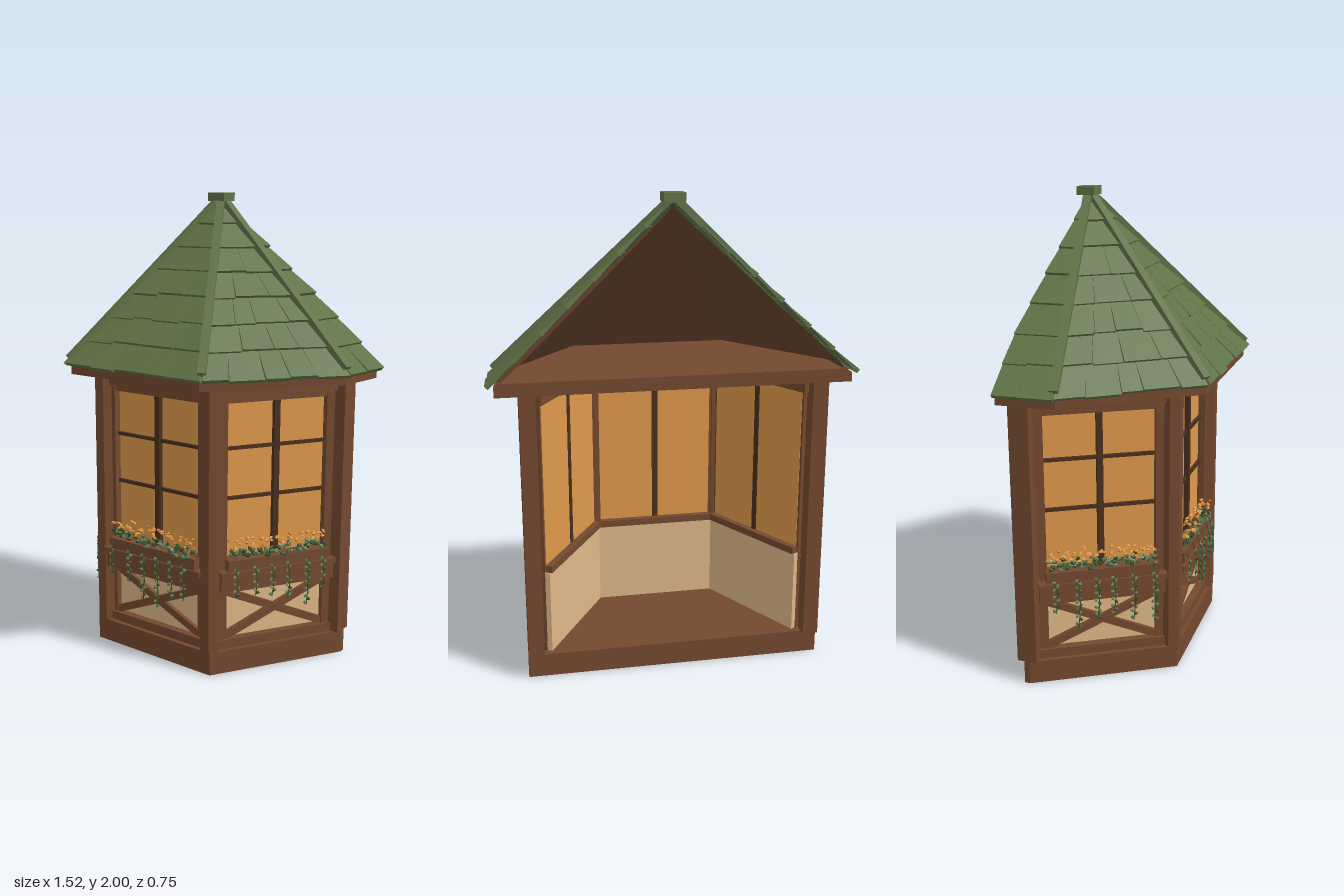
import * as THREE from 'three';
import { mergeGeometries } from 'three/addons/utils/BufferGeometryUtils.js';

const mat = (name, color, side = THREE.FrontSide) => {
  const m = new THREE.MeshStandardMaterial({ color, side });
  m.name = name;
  return m;
};
const V = (x, y, z) => new THREE.Vector3(x, y, z);

export function createModel() {
  const wood = mat('brown wood', 0x74492f);
  const lining = mat('roof lining brown', 0x6b4630, THREE.DoubleSide);
  const darkWood = mat('dark window bars', 0x4a2f1e);
  const pane = mat('amber glass', 0xdf994b);
  const plaster = mat('cream plaster', 0xdeb887);
  const roofGreen = mat('roof green', 0x5f7347, THREE.DoubleSide);
  const leafDark = mat('dark leaf', 0x35552f);
  const leafPale = mat('pale leaf', 0x64855a);
  const bloom = mat('orange bloom', 0xe0913c);

  const model = new THREE.Group();
  model.name = 'bayWindow';
  let seed = 7;
  const rnd = () => (seed = (seed * 16807) % 2147483647) / 2147483647;
  const add = (parent, name, geo, material) => {
    const m = new THREE.Mesh(geo, material);
    m.name = name;
    parent.add(m);
    return m;
  };
  // box given by its extents on each axis
  const box = (parent, name, material, x0, x1, y0, y1, z0, z1) => {
    const m = add(parent, name, new THREE.BoxGeometry(x1 - x0, y1 - y0, z1 - z0), material);
    m.position.set((x0 + x1) / 2, (y0 + y1) / 2, (z0 + z1) / 2);
    return m;
  };
  // symmetric plan outline (right half as [x, z] from front to back) raised from y0 to y1
  const slab = (name, half, y0, y1, material) => {
    const pts = [...half, ...half.map(([x, z]) => [-x, z]).reverse()];
    const shape = new THREE.Shape(pts.map(([x, z]) => new THREE.Vector2(x, -z)));
    const geo = new THREE.ExtrudeGeometry(shape, { depth: y1 - y0, bevelEnabled: false });
    geo.rotateX(-Math.PI / 2).translate(0, y0, 0);
    return add(model, name, geo, material);
  };

  // Base, ceiling and eaves
  slab('base', [[0.317, 0.24], [0.632, -0.31], [0.632, -0.335]], 0, 0.1, wood);
  slab('eavesBoard', [[0.345, 0.355], [0.715, -0.13], [0.725, -0.37]], 1.24, 1.28, wood);
  box(model, 'backEavesRail', wood, -0.71, 0.71, 1.25, 1.295, -0.368, -0.345);

  // Corner posts
  for (const s of [-1, 1]) {
    const geo = new THREE.CylinderGeometry(0.045, 0.045, 1.14, 6, 1, false, Math.PI / 6).toNonIndexed();
    geo.computeVertexNormals();
    add(model, 'frontPost', geo, wood).position.set(s * 0.29, 0.67, 0.205);
    box(model, 'backPost', wood, s * 0.598 - 0.033, s * 0.598 + 0.033, 0.1, 1.24, -0.365, -0.28);
  }

  // Small plant pieces merged by colour
  const bit = (list, x, y, z, sx, sy, sz) => {
    const g = new THREE.OctahedronGeometry(1, 0);
    g.scale(sx, sy, sz).rotateZ(rnd() * 2 - 1).rotateY(rnd() * 2 - 1).translate(x, y, z);
    list.push(g);
  };

  // Three wall bays; local +z points outward from the hexagon centre
  for (const k of [-1, 0, 1]) {
    const bay = new THREE.Group();
    bay.name = ['rightBay', 'frontBay', 'leftBay'][k + 1];
    bay.position.z = -0.31;
    bay.rotation.y = k * Math.PI / 3;
    model.add(bay);

    box(bay, 'lowerPanel', plaster, -0.265, 0.265, 0.1, 0.46, 0.458, 0.495);
    box(bay, 'innerSill', wood, -0.26, 0.26, 0.46, 0.49, 0.45, 0.5);
    box(bay, 'glass', pane, -0.255, 0.255, 0.48, 1.18, 0.478, 0.488);
    box(bay, 'header', wood, -0.28, 0.28, 1.185, 1.24, 0.465, 0.53);
    box(bay, 'windowHead', wood, -0.26, 0.26, 1.16, 1.19, 0.48, 0.515);
    box(bay, 'bottomRail', wood, -0.27, 0.27, 0.1, 0.14, 0.48, 0.53);
    for (const s of [-1, 1]) {
      box(bay, 'windowJamb', wood, s * 0.247 - 0.018, s * 0.247 + 0.018, 0.1, 1.18, 0.48, 0.52);
      const brace = box(bay, 'crossBrace', wood, -0.265, 0.265, -0.016, 0.016, 0.49, 0.515 + s * 0.002);
      brace.position.y = 0.25;
      brace.rotation.z = s * 0.41;
    }
    box(bay, 'mullion', darkWood, -0.013, 0.013, 0.48, 1.17, 0.475, 0.51);
    for (const y of [0.755, 0.968])
      box(bay, 'glazingBar', darkWood, -0.23, 0.23, y - 0.007, y + 0.007, 0.48, 0.502);

    // Planter on its shelf
    box(bay, 'shelfRail', wood, -0.265, 0.265, 0.36, 0.425, 0.485, 0.55);
    box(bay, 'shelf', wood, -0.27, 0.27, 0.43, 0.452, 0.485, 0.565);
    box(bay, 'planter', wood, -0.237, 0.237, 0.452, 0.5, 0.49, 0.557);

    // Foliage, blooms and trailing vines
    const dark = [], pale = [], orange = [];
    for (let i = 0; i < 60; i++) {
      const x = -0.225 + 0.45 * (i + rnd()) / 60;
      bit(i % 3 ? dark : pale, x, 0.5 + rnd() * 0.04, 0.505 + rnd() * 0.06, 0.016, 0.011, 0.008);
    }
    for (let i = 0; i < 46; i++) {
      const x = -0.225 + 0.45 * (i + rnd()) / 46;
      bit(orange, x, 0.54 + rnd() * 0.04, 0.505 + rnd() * 0.055, 0.013, 0.007, 0.01);
    }
    for (let v = 0; v < 6; v++) {
      const x0 = -0.2 + v * 0.08 + (rnd() - 0.5) * 0.03;
      const n = 8 + Math.floor(rnd() * 7);
      const stem = [V(x0, 0.5, 0.555), V(x0, 0.46, 0.572), V(x0 + 0.008, 0.47 - n * 0.008, 0.574), V(x0, 0.47 - n * 0.016, 0.572)];
      dark.push(new THREE.TubeGeometry(new THREE.CatmullRomCurve3(stem), 8, 0.0025, 4).toNonIndexed());
      for (let i = 0; i < n; i++)
        bit(i % 4 === 3 ? dark : pale, x0 + (i % 2 ? 0.009 : -0.006), 0.465 - i * 0.016, 0.574, 0.011, 0.009, 0.004);
    }
    add(bay, 'darkLeaves', mergeGeometries(dark), leafDark);
    add(bay, 'paleLeaves', mergeGeometries(pale), leafPale);
    add(bay, 'blooms', mergeGeometries(orange), bloom);
  }

  // Roof: each panel lies between two edges, functions of s (0 at apex, 1 at eaves)
  const apex = V(0, 1.97, -0.25);
  const hip = (x, z) => s => apex.clone().lerp(V(x, 1.285, z), s);
  const gable = k => s => V(k * 0.74 * s, 1.97 - 0.685 * s, -0.25 - 0.12 * Math.min(1, s * 1.3));
  const meshFrom = pos => {
    const g = new THREE.BufferGeometry();
    g.setAttribute('position', new THREE.Float32BufferAttribute(pos, 3));
    g.computeVertexNormals();
    return g;
  };
  const quad = (out, a, b, c, d) => [a, b, c, a, c, d].forEach(p => out.push(p.x, p.y, p.z));
  const ROWS = 7;

  const roofPanel = (name, eL, eR, cols) => {
    const n = eR(1).sub(eL(1)).cross(apex.clone().sub(eL(1))).normalize();
    const at = (u, s, lift) => eL(s).lerp(eR(s), u).addScaledVector(n, lift);
    const skin = [], under = [], tiles = [];
    for (let r = 0; r < ROWS; r++) {
      const s0 = r / ROWS, s1 = (r + 1) / ROWS;
      quad(skin, at(0, s1, 0), at(1, s1, 0), at(1, s0, 0), at(0, s0, 0));
      quad(under, at(0, s1, -0.02), at(0, s0, -0.02), at(1, s0, -0.02), at(1, s1, -0.02));
      // overlapping shingles with uneven lower edges
      const count = Math.max(1, Math.round(cols * s1));
      const cuts = Array.from({ length: count + 1 }, (_, i) =>
        i === 0 ? 0 : i === count ? 1 : (i + (rnd() - 0.5) * 0.4) / count);
      for (let i = 0; i < count; i++) {
        const u0 = cuts[i] + 0.003, u1 = cuts[i + 1] - 0.003;
        const e = s1 + 0.004 + rnd() * 0.014, h = 0.011 + rnd() * 0.007;
        const a = at(u0, e, h), b = at(u1, e, h), c = at(u1, s0, 0.003), d = at(u0, s0, 0.003);
        const a0 = at(u0, e, -0.004), b0 = at(u1, e, -0.004);
        quad(tiles, a, b, c, d);
        quad(tiles, a0, b0, b, a);
        quad(tiles, a0, a, d, d);
        quad(tiles, b0, c, c, b);
      }
    }
    add(model, name + 'Skin', meshFrom(skin), roofGreen);
    add(model, name + 'Lining', meshFrom(under), lining);
    add(model, name + 'Shingles', meshFrom(tiles), roofGreen);
  };
  const fL = hip(-0.36, 0.36), fR = hip(0.36, 0.36), sL = hip(-0.725, -0.13), sR = hip(0.725, -0.13);
  roofPanel('frontRoof', fL, fR, 5);
  roofPanel('leftRoof', fR, sR, 5);
  roofPanel('rightRoof', sL, fL, 5);
  roofPanel('leftBackRoof', sR, gable(1), 2);
  roofPanel('rightBackRoof', gable(-1), sL, 2);

  // Hip ridge battens and the cap
  for (const e of [fL, fR, sL, sR]) {
    const a = e(0.02), b = e(0.99);
    const ridge = add(model, 'hipRidge', new THREE.BoxGeometry(0.034, 0.03, a.distanceTo(b)), roofGreen);
    ridge.position.copy(a).add(b).multiplyScalar(0.5);
    ridge.lookAt(b);
    ridge.position.y += 0.014;
  }
  box(model, 'roofCap', roofGreen, -0.044, 0.044, 1.965, 2, -0.288, -0.21);
  return model;
}
